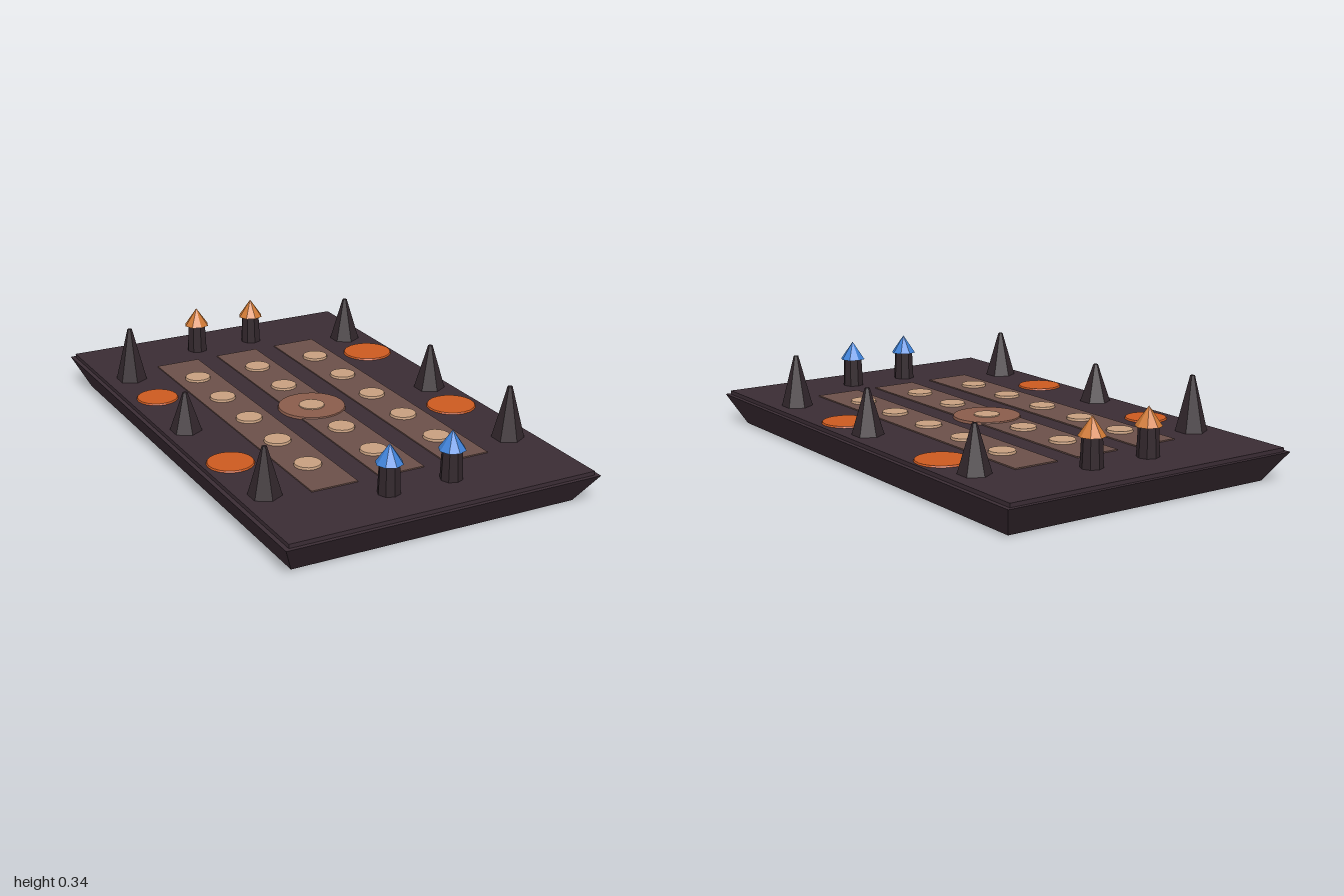
import * as THREE from 'three';

const mat = (name, color) => {
  const m = new THREE.MeshStandardMaterial({ color, flatShading: true });
  m.name = name;
  return m;
};

export function createModel() {
  const group = new THREE.Group();
  group.name = 'arenaBoard';

  const stone = mat('dark plum stone', 0x3a2c34);
  const rock = mat('dark rock', 0x32272c);
  const laneBrown = mat('lane brown', 0x6b5049);
  const clay = mat('clay', 0x8a5c4b);
  const sand = mat('sand', 0xc8a080);
  const lava = mat('lava orange', 0xcc5a20);
  const blue = mat('team blue', 0x3f82d8);
  const copper = mat('team orange', 0xd07a35);

  const add = (name, geometry, material, x, y, z) => {
    const mesh = new THREE.Mesh(geometry, material);
    mesh.name = name;
    mesh.position.set(x, y, z);
    group.add(mesh);
    return mesh;
  };
  // Upright round piece between two heights
  const round = (name, rTop, rBottom, y0, y1, sides, material, x, z) =>
    add(name, new THREE.CylinderGeometry(rTop, rBottom, y1 - y0, sides), material, x, (y0 + y1) / 2, z);

  // Base block, narrowing towards the ground
  const base = new THREE.BoxGeometry(1.234, 0.115, 2);
  const p = base.attributes.position;
  for (let i = 0; i < p.count; i++) {
    if (p.getY(i) < 0) p.setXYZ(i, Math.sign(p.getX(i)) * 0.56, p.getY(i), Math.sign(p.getZ(i)) * 0.92);
  }
  base.computeVertexNormals();
  add('base', base, stone, 0, 0.0575, 0);

  // Raised floor
  add('floor', new THREE.BoxGeometry(1.2, 0.02, 1.97), stone, 0, 0.12, 0);

  // Three lanes, each with five round markers
  for (const x of [-0.266, 0, 0.266]) {
    add('lane', new THREE.BoxGeometry(0.18, 0.01, 1.355), laneBrown, x, 0.1295, 0);
    for (let i = -2; i <= 2; i++) {
      round('laneMarker', 0.049, 0.052, 0.128, 0.1435, 16, sand, x, i * 0.238);
    }
  }
  round('centreDisc', 0.128, 0.132, 0.125, 0.1395, 24, clay, 0, 0);

  // Lava pools: x, z, radius
  for (const [x, z, r] of [
    [-0.487, -0.365, 0.085], [0.492, -0.434, 0.103],
    [-0.497, 0.328, 0.091], [0.484, 0.233, 0.099],
  ]) round('lavaPool', r - 0.007, r, 0.122, 0.136, 20, lava, x, z);

  // Rock spires: x, z, top height
  for (const [x, z, top] of [
    [-0.497, -0.61, 0.34], [0.495, -0.638, 0.305],
    [-0.516, 0.02 * -1, 0.28], [0.513, 0.027, 0.305],
    [-0.505, 0.62, 0.31], [0.503, 0.59, 0.33],
  ]) round('rockSpire', 0.009, 0.062, 0.125, top, 6, rock, x, z);

  // Paired towers at each end, with coloured roofs
  for (const [z, roof] of [[0.8, blue], [-0.8, copper]]) {
    for (const x of [-0.125, 0.125]) {
      round('towerShaft', 0.037, 0.042, 0.125, 0.243, 8, rock, x, z);
      round('towerRoof', 0, 0.05, 0.24, 0.312, 8, roof, x, z);
    }
  }
  return group;
}
